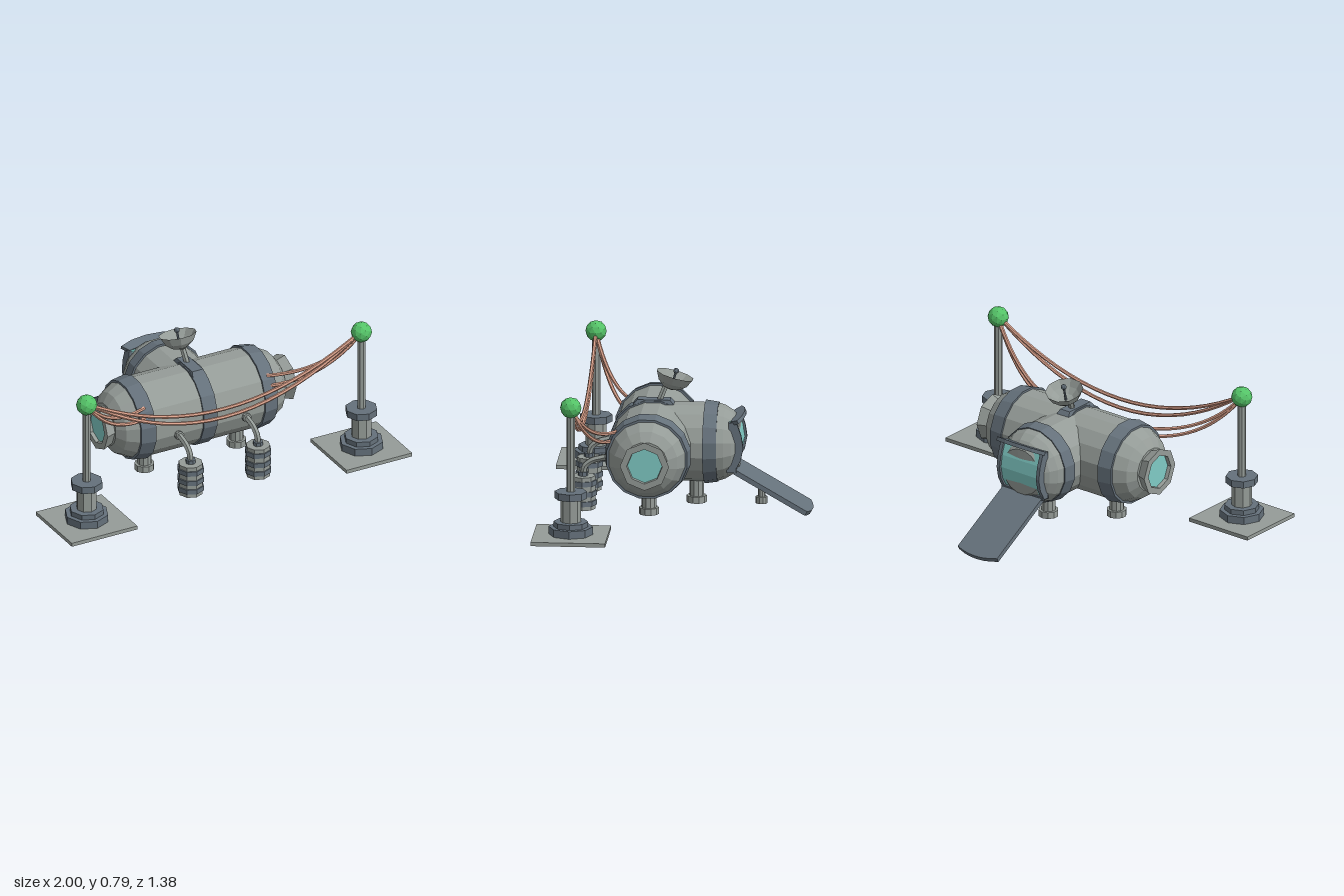
import * as THREE from 'three';

const mat = (color) => new THREE.MeshStandardMaterial({ color, flatShading: true, side: THREE.DoubleSide });
const hull = mat(0x959c98), slate = mat(0x65717b), teal = mat(0x7fcac5);
const green = mat(0x55c468), copper = mat(0xd9a08a);
const V = (x, y, z) => new THREE.Vector3(x, y, z);

export function createModel() {
  const model = new THREE.Group();
  const add = (name, geo, material, x = 0, y = 0, z = 0, parent = model) => {
    const m = new THREE.Mesh(geo, material);
    m.name = name;
    m.position.set(x, y, z);
    parent.add(m);
    return m;
  };
  // Lathe from [radius, height] pairs, turned half a side so that flats face the axes
  const lathe = (pts, sides) => new THREE.LatheGeometry(
    pts.map((p) => new THREE.Vector2(p[0], p[1])), sides, Math.PI / sides);
  // Upright cylinder between two heights
  const post = (name, r, y0, y1, material, x, z, sides = 8, parent = model) =>
    add(name, new THREE.CylinderGeometry(r, r, y1 - y0, sides), material, x, (y0 + y1) / 2, z, parent);
  const tube = (name, curve, r, material, parent = model) =>
    add(name, new THREE.TubeGeometry(curve, 20, r, 6), material, 0, 0, 0, parent);

  // Main capsule, lying along x
  const main = new THREE.Group();
  main.name = 'mainModule';
  main.position.set(0, 0.365, 0.13);
  main.rotation.z = -Math.PI / 2;
  model.add(main);
  add('mainHull', lathe([[0, -0.5], [0.115, -0.5], [0.165, -0.465], [0.2, -0.4], [0.213, -0.33],
    [0.213, 0.33], [0.2, 0.4], [0.165, 0.465], [0.115, 0.5], [0, 0.5]], 16), hull, 0, 0, 0, main);
  add('centreBand', lathe([[0.2, -0.04], [0.222, -0.04], [0.222, 0.04], [0.2, 0.04]], 16), slate, 0, 0, 0, main);
  for (const s of [-1, 1]) {
    add('endBand', lathe([[0.2, s * 0.32], [0.224, s * 0.32], [0.212, s * 0.4], [0.19, s * 0.4]], 16), slate, 0, 0, 0, main);
    // Flared round window at each end
    const frame = new THREE.LatheGeometry([[0.1, 0.485], [0.127, 0.555], [0.092, 0.555], [0.088, 0.52]]
      .map(([r, h]) => new THREE.Vector2(r, s * h)), 8);
    add('windowFrame', frame, hull, 0, 0, 0, main);
    add('windowPane', new THREE.CylinderGeometry(0.092, 0.092, 0.02, 8), teal, 0, s * 0.525, 0, main);
  }

  // Entry module, reaching back along z
  const entry = new THREE.Group();
  entry.name = 'entryModule';
  entry.position.y = 0.365;
  entry.rotation.x = -Math.PI / 2;
  model.add(entry);
  add('entryHull', lathe([[0.204, -0.1], [0.204, 0.2], [0.19, 0.245], [0.165, 0.285], [0.125, 0.318], [0, 0.325]], 16),
    hull, 0, 0, 0, entry);
  add('entryBand', lathe([[0.195, 0.14], [0.216, 0.14], [0.206, 0.21], [0.185, 0.21]], 16), slate, 0, 0, 0, entry);

  // Bulged doorway: extruded side profile for the pane and its frame
  const bulge = (name, width, x, inset, material) => {
    const pts = [[-0.3, 0.24], [-0.333, 0.3], [-0.346, 0.365], [-0.336, 0.43], [-0.312, 0.5]];
    const shape = new THREE.Shape([...pts.map(([z, y]) => new THREE.Vector2(z + inset, y)),
      new THREE.Vector2(-0.27, 0.5), new THREE.Vector2(-0.27, 0.24)]);
    const m = add(name, new THREE.ExtrudeGeometry(shape, { depth: width, bevelEnabled: false }), material, x + width / 2);
    m.rotation.y = -Math.PI / 2;
  };
  bulge('doorPane', 0.25, 0, 0.012, teal);
  for (const s of [-1, 1]) bulge('doorPost', 0.02, s * 0.13, 0, slate);
  add('doorSill', new THREE.BoxGeometry(0.27, 0.02, 0.05), slate, 0, 0.245, -0.285);

  // Curved visor above the doorway
  const visorShape = new THREE.Shape([[-0.16, 0.02], [-0.09, 0.042], [0, 0.05], [0.09, 0.042], [0.16, 0.02],
    [0.13, -0.02], [0, 0], [-0.13, -0.02]].map((p) => new THREE.Vector2(...p)));
  const visor = add('doorVisor', new THREE.ExtrudeGeometry(visorShape, { depth: 0.02, bevelEnabled: false }),
    slate, 0, 0.493, -0.305);
  visor.rotation.x = -Math.PI / 2 + 0.4;

  // Boarding ramp with a rounded end
  const rampShape = new THREE.Shape();
  rampShape.moveTo(-0.13, 0);
  rampShape.lineTo(0.13, 0);
  rampShape.lineTo(0.13, 0.425);
  rampShape.quadraticCurveTo(0, 0.475, -0.13, 0.425);
  const ramp = add('ramp', new THREE.ExtrudeGeometry(rampShape, { depth: 0.025, bevelEnabled: false, curveSegments: 6 }),
    slate, 0, 0.226, -0.295);
  ramp.rotation.x = -Math.PI * 2 / 3;

  // Support legs: x, z, stem radius, foot radius, top
  for (const [x, z, r, f, top] of [[-0.27, 0.13, 0.038, 0.052, 0.2], [0.27, 0.13, 0.038, 0.052, 0.2],
    [0, -0.095, 0.038, 0.052, 0.2], [0, -0.43, 0.019, 0.031, 0.155]]) {
    post('legStem', r, 0.06, top, hull, x, z, 10);
    post('legFoot', f, 0.045, 0.08, hull, x, z, 10);
  }

  // Storage tanks with feed pipes
  for (const x of [-0.188, 0.208]) {
    const tank = new THREE.Group();
    tank.name = 'tank';
    model.add(tank);
    post('tankBody', 0.064, 0.05, 0.225, hull, x, 0.475, 8, tank);
    for (const y of [0.085, 0.135, 0.19]) post('tankRib', 0.071, y - 0.013, y + 0.013, slate, x, 0.475, 8, tank);
    post('pipeSocket', 0.026, 0.22, 0.245, slate, x, 0.475, 8, tank);
    tube('feedPipe', new THREE.CatmullRomCurve3([V(x, 0.22, 0.475), V(x, 0.275, 0.465), V(x, 0.305, 0.43),
      V(x, 0.32, 0.38), V(x, 0.335, 0.31)]), 0.017, hull, tank);
    const collar = add('pipeCollar', new THREE.CylinderGeometry(0.024, 0.024, 0.02, 8), hull, x, 0.325, 0.355, tank);
    collar.rotation.x = Math.PI / 2 - 0.2;
  }

  // Dish aerial on a roof pad
  add('roofPad', new THREE.CylinderGeometry(0.1, 0.125, 0.025, 4, 1, false, Math.PI / 4).scale(0.45, 1, 1.2),
    slate, 0, 0.575, 0.125);
  tube('dishStem', new THREE.LineCurve3(V(0, 0.57, 0.1), V(-0.01, 0.65, 0.068)), 0.016, hull);
  const dish = new THREE.Group();
  dish.name = 'dish';
  dish.position.set(-0.01, 0.632, 0.04);
  dish.rotation.set(-0.27, 0, 0.04);
  model.add(dish);
  add('dishBowl', lathe([[0, 0], [0.045, 0.014], [0.078, 0.042], [0.1, 0.085], [0.072, 0.052], [0.04, 0.028], [0, 0.02]], 10),
    hull, 0, 0, 0, dish);
  post('dishFeed', 0.006, 0.015, 0.1, slate, 0, 0, 6, dish);
  add('feedTip', new THREE.IcosahedronGeometry(0.015, 1), slate, 0, 0.105, 0, dish);

  // Power pylons, mirrored, with cables down to the capsule
  for (const s of [-1, 1]) {
    const pylon = new THREE.Group();
    pylon.name = 'pylon';
    model.add(pylon);
    const x = s * 0.807, z = 0.49;
    add('groundPlate', new THREE.BoxGeometry(0.385, 0.02, 0.385), hull, x, 0.055, z, pylon);
    post('lowerBase', 0.115, 0.065, 0.105, slate, x, z, 8, pylon);
    post('upperBase', 0.09, 0.105, 0.132, slate, x, z, 8, pylon);
    post('column', 0.054, 0.13, 0.26, hull, x, z, 8, pylon);
    post('columnCollar', 0.084, 0.255, 0.292, slate, x, z, 8, pylon);
    post('pole', 0.022, 0.29, 0.72, hull, x, z, 8, pylon);
    add('lamp', new THREE.IcosahedronGeometry(0.055, 1), green, x, 0.735, z, pylon);
    for (const [ex, ey, ez, sag] of [[0.36, 0.5, 0.29, 0.51], [0.355, 0.45, 0.31, 0.47]])
      tube('hullCable', new THREE.QuadraticBezierCurve3(V(x, 0.73, z), V(s * 0.63, sag, 0.415), V(s * ex, ey, ez)), 0.01, copper);
  }
  // Sagging cables between the two lamps
  for (const low of [0.497, 0.448])
    tube('spanCable', new THREE.QuadraticBezierCurve3(V(-0.8, 0.735, 0.49), V(0, 2 * low - 0.735, 0.49), V(0.8, 0.735, 0.49)), 0.01, copper);

  return model;
}
